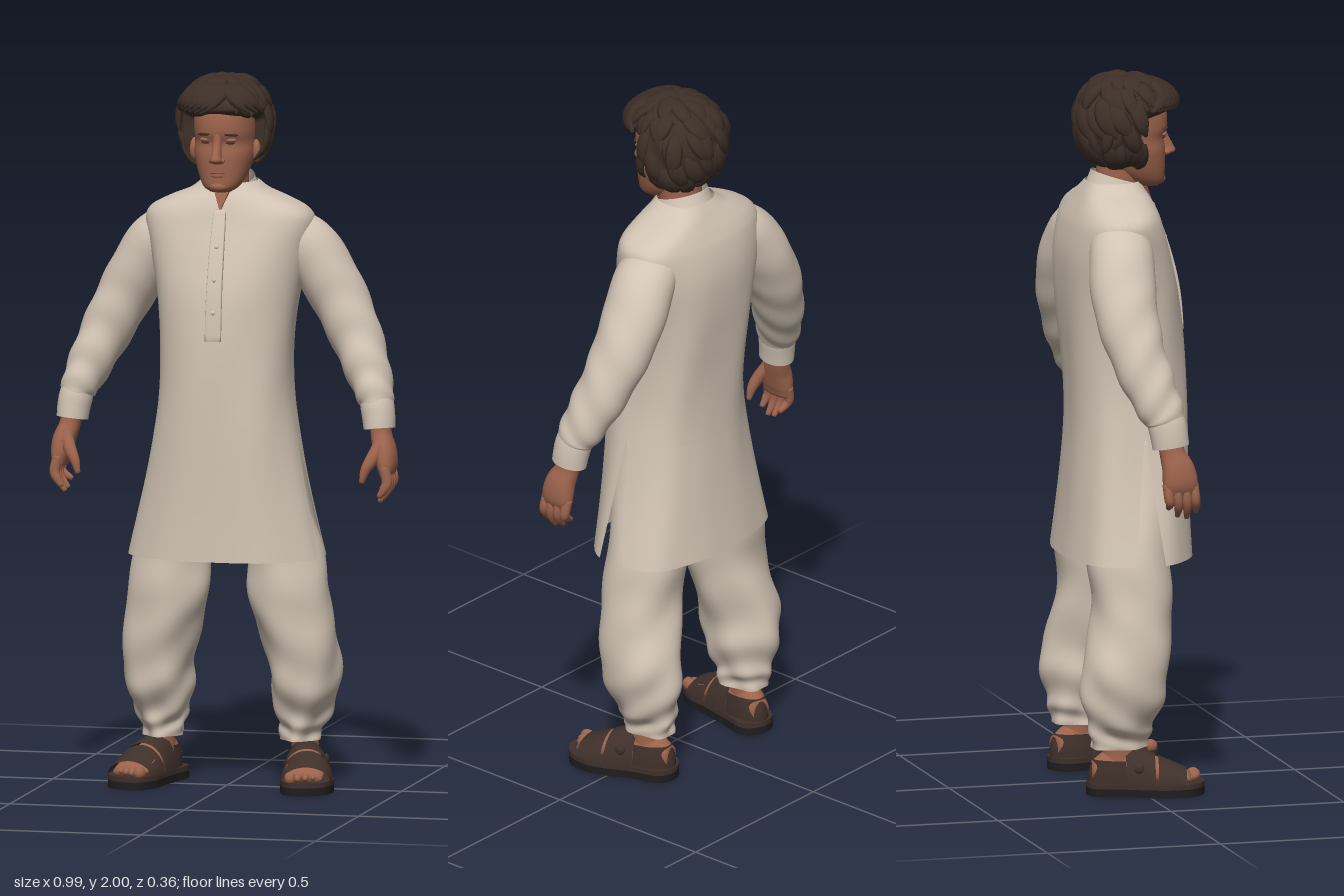
import * as THREE from 'three';

const V = (x, y, z) => new THREE.Vector3(x, y, z);
const mat = (name, color, side = THREE.FrontSide) => {
  const m = new THREE.MeshStandardMaterial({ color, side });
  m.name = name;
  return m;
};

// Skin a tube through rows [x, y, z, radiusU, radiusW]; optional open arc, fixed axis, folds and end caps.
// pow squares off the section, backPow its half facing away from W.
function loft(rows, o = {}) {
  const { segs = 32, steps = rows.length * 4, pow = 2, backPow = pow, from = 0, to = 1, axis, ref = V(0, 0, 1), arc, fold, cap } = o;
  const path = new THREE.CatmullRomCurve3(rows.map(r => V(r[0], r[1], r[2])), false, 'catmullrom');
  const size = new THREE.CatmullRomCurve3(rows.map(r => V(r[3], r[4], 0)), false, 'catmullrom');
  const cols = arc ? segs + 1 : segs, pos = [], idx = [];
  const rings = [];
  for (let i = 0; i <= steps; i++) rings.push([from + (to - from) * i / steps, 1]);
  if (cap) { rings.unshift([from, 0]); rings.push([to, 0]); }
  const se = (v, n) => Math.sign(v) * Math.pow(Math.abs(v), 2 / n);
  for (const [t, k] of rings) {
    const p = path.getPoint(t), r = size.getPoint(t);
    const T = axis ? axis.clone().normalize() : path.getTangent(t);
    const U = T.clone().cross(ref).normalize(), W = U.clone().cross(T);
    const [a0, a1] = arc ? arc((t - from) / (to - from)) : [0, Math.PI * 2];
    for (let j = 0; j < cols; j++) {
      const a = a0 + (a1 - a0) * j / segs, f = fold ? fold(a, t) : 0, n = Math.sin(a) < 0 ? backPow : pow;
      const q = p.clone().addScaledVector(U, se(Math.cos(a), n) * (r.x + f) * k).addScaledVector(W, se(Math.sin(a), n) * (r.y + f) * k);
      pos.push(q.x, q.y, q.z);
    }
  }
  for (let i = 0; i < rings.length - 1; i++) for (let j = 0; j < segs; j++) {
    const n = (j + 1) % cols, a = i * cols + j, b = i * cols + n;
    idx.push(a, a + cols, b, b, a + cols, b + cols);
  }
  const g = new THREE.BufferGeometry();
  g.setAttribute('position', new THREE.Float32BufferAttribute(pos, 3));
  g.setIndex(idx);
  g.computeVertexNormals();
  return g;
}

export function createModel() {
  const model = new THREE.Group();
  model.name = 'standingMan';
  const cloth = mat('cream cloth', 0xd2c4b4, THREE.DoubleSide);
  const skin = mat('skin', 0x9c634c);
  const hair = mat('dark brown hair', 0x3d2f27);
  const leather = mat('brown leather', 0x3f302a, THREE.DoubleSide);
  const rubber = mat('black sole', 0x1f1d1e);
  const lip = mat('lips', 0x8c5544);
  const eyeMat = mat('eyes', 0x50392f);
  const add = (name, geo, m, parent = model) => {
    const mesh = new THREE.Mesh(geo, m);
    mesh.name = name;
    parent.add(mesh);
    return mesh;
  };
  const ball = (name, m, p, s, parent = model) => {
    const b = add(name, new THREE.SphereGeometry(1, 20, 14), m, parent);
    b.position.set(...p);
    b.scale.set(...s);
    return b;
  };
  const UP = V(0, 1, 0);

  // Tunic: [y, half width, front z, back z], open at the side slits below the fourth row
  const tunic = [[0.65, 0.276, 0.18, -0.18], [0.76, 0.25, 0.177, -0.168], [0.88, 0.223, 0.176, -0.158],
    [1.0, 0.201, 0.176, -0.152], [1.1, 0.187, 0.174, -0.154], [1.2, 0.183, 0.17, -0.161], [1.3, 0.187, 0.163, -0.17],
    [1.4, 0.2, 0.15, -0.176], [1.5, 0.222, 0.124, -0.175], [1.58, 0.238, 0.098, -0.16], [1.62, 0.224, 0.085, -0.145],
    [1.65, 0.172, 0.073, -0.13], [1.675, 0.112, 0.06, -0.116], [1.7, 0.078, 0.045, -0.1]]
    .map(([y, w, f, b]) => [0, y, (f + b) / 2, w, (f - b) / 2]);
  const drape = (a, t) => 0.005 * Math.max(0, 0.55 - t) * Math.sin(a * 7 + t * 4) + 0.002 * Math.sin(a * 5 + t * 14) * Math.sin(t * Math.PI);
  const slit = 3 / 13, body = { pow: 2.25, backPow: 2.8, axis: UP, fold: drape };
  add('tunicBody', loft(tunic, { ...body, segs: 72, from: slit }), cloth);
  add('tunicFrontPanel', loft(tunic, { ...body, segs: 36, steps: 14, to: slit, arc: t => [0.24 * (1 - t), Math.PI - 0.24 * (1 - t)] }), cloth);
  add('tunicBackPanel', loft(tunic, { ...body, segs: 36, steps: 14, to: slit, arc: t => [Math.PI + 0.1 * (1 - t), 2 * Math.PI - 0.1 * (1 - t)] }), cloth);
  add('collar', loft([[0, 1.665, -0.02, 0.088, 0.087], [0, 1.685, -0.018, 0.08, 0.081], [0, 1.71, -0.015, 0.073, 0.075]],
    { axis: V(0, 1, 0.3), segs: 40, arc: () => [Math.PI / 2 + 0.22, Math.PI * 2.5 - 0.22] }), cloth);
  add('placket', loft([[0, 1.27, 0.168, 0.023, 0.007], [0, 1.35, 0.161, 0.023, 0.008], [0, 1.42, 0.15, 0.022, 0.008],
    [0, 1.5, 0.129, 0.021, 0.008], [0, 1.58, 0.103, 0.019, 0.007], [0, 1.63, 0.085, 0.017, 0.006]],
    { axis: UP, pow: 5, segs: 24, cap: true }), cloth);
  [[1.35, 0.169], [1.44, 0.153], [1.53, 0.127]].forEach(([y, z]) => ball('button', cloth, [0, y, z], [0.006, 0.006, 0.004]));

  // Open throat below the collar
  const throat = new THREE.Shape([[-0.022, 0.03], [0, -0.03], [0.022, 0.03]].map(p => new THREE.Vector2(...p)));
  const throatMesh = add('openThroat', new THREE.ExtrudeGeometry(throat, { depth: 0.008, bevelEnabled: false }), skin);
  throatMesh.position.set(0, 1.65, 0.072);
  throatMesh.rotation.x = -0.4;
  add('seat', loft([[0, 0.74, -0.02, 0.09, 0.07], [0, 0.82, -0.01, 0.14, 0.11], [0, 0.98, 0.01, 0.16, 0.13]], { axis: UP, cap: true }), cloth);

  // Outline shared by the sandal layers
  const outline = new THREE.Shape(new THREE.CatmullRomCurve3([[0, -0.16], [0.048, -0.135], [0.06, -0.05], [0.079, 0.03],
    [0.08, 0.09], [0.055, 0.145], [0, 0.17], [-0.046, 0.157], [-0.066, 0.1], [-0.062, 0.04], [-0.059, -0.05], [-0.054, -0.135]]
    .map(([x, z]) => V(x, z, 0)), true).getPoints(60).slice(0, -1).map(p => new THREE.Vector2(p.x, p.y)));
  const layer = (y, h) => new THREE.ExtrudeGeometry(outline, { depth: h, bevelEnabled: false }).rotateX(Math.PI / 2).translate(0, y + h, 0);

  for (const s of [1, -1]) {
    const side = s > 0 ? 'left' : 'right';
    const flip = rows => rows.map(([x, ...r]) => [x * s, ...r]);
    const mir = a => s > 0 ? a : Math.PI - a;

    // Sleeve with creases gathering toward the cuff
    add(side + 'Sleeve', loft(flip([[0.12, 1.58, -0.04, 0.045, 0.07], [0.208, 1.523, -0.06, 0.081, 0.09], [0.283, 1.41, -0.073, 0.081, 0.091],
      [0.345, 1.29, -0.06, 0.074, 0.081], [0.395, 1.18, -0.028, 0.063, 0.071], [0.425, 1.105, 0, 0.051, 0.06], [0.431, 1.08, 0.006, 0.043, 0.05]]),
      { steps: 48, fold: (a, t) => 0.005 * t * Math.sin(t * 38 + 3 * Math.sin(a)) * Math.sin(t * Math.PI) }), cloth);
    add(side + 'Cuff', loft(flip([[0.426, 1.105, 0, 0.045, 0.052], [0.432, 1.08, 0.008, 0.047, 0.054], [0.437, 1.05, 0.013, 0.046, 0.053], [0.44, 1.02, 0.017, 0.044, 0.052]])), cloth);

    // Hand
    const hand = new THREE.Group();
    hand.name = side + 'Hand';
    model.add(hand);
    add('palm', loft(flip([[0.439, 1.05, 0.012, 0.028, 0.034], [0.447, 1.0, 0.02, 0.029, 0.036], [0.46, 0.96, 0.032, 0.031, 0.046],
      [0.467, 0.92, 0.037, 0.027, 0.05], [0.467, 0.89, 0.039, 0.017, 0.045]]), { segs: 20, cap: true, pow: 2.3 }), skin, hand);
    for (let i = 0; i < 4; i++) {
      const z = 0.074 - i * 0.025, tip = [0.836, 0.82, 0.826, 0.848][i];
      add('finger', loft(flip([[0.467, 0.92, z, 0.015, 0.014], [0.476, 0.88, z + 0.003, 0.015, 0.014], [0.469, (tip + 0.88) / 2, z + 0.007, 0.013, 0.012],
        [0.454 - i * 0.004, tip, z + 0.01, 0.007, 0.007]]), { segs: 10, cap: true }), skin, hand);
    }
    add('thumb', loft(flip([[0.452, 0.985, 0.05, 0.019, 0.018], [0.432, 0.94, 0.076, 0.018, 0.017], [0.416, 0.91, 0.086, 0.014, 0.014], [0.406, 0.875, 0.09, 0.007, 0.007]]),
      { segs: 12, cap: true }), skin, hand);

    // Baggy trouser leg gathered at the ankle
    add(side + 'TrouserLeg', loft(flip([[0.197, 0.13, -0.065, 0.054, 0.08], [0.198, 0.165, -0.065, 0.058, 0.083], [0.204, 0.205, -0.062, 0.076, 0.094],
      [0.207, 0.27, -0.055, 0.092, 0.116], [0.21, 0.35, -0.048, 0.1, 0.123], [0.19, 0.45, -0.03, 0.108, 0.116], [0.172, 0.55, -0.02, 0.114, 0.114],
      [0.158, 0.68, -0.03, 0.104, 0.116], [0.108, 0.85, 0, 0.09, 0.12], [0.09, 0.97, 0.01, 0.07, 0.1]]),
      { axis: UP, segs: 48, steps: 60, fold: (a, t) => {
        const m = mir(a);
        return (1 - t) * (0.006 * Math.sin(t * 32 + 4 * Math.sin(m + 0.6)) * Math.min(1, t * 8) + 0.005 * Math.sin(5 * m + t * 9));
      } }), cloth);

    // Foot and open sandal, turned outward
    const foot = new THREE.Group();
    foot.name = side + 'Foot';
    foot.position.x = 0.222 * s;
    foot.rotation.y = 0.22 * s;
    model.add(foot);
    add('sole', layer(0, 0.022), rubber, foot).scale.x = s;
    add('insole', layer(0.022, 0.014), leather, foot).scale.x = s;
    const Z = { axis: V(0, 0, 1), ref: UP };
    add('bareFoot', loft([[0, 0.065, -0.145, 0.028, 0.03], [0, 0.075, -0.1, 0.04, 0.05], [0, 0.075, -0.04, 0.045, 0.05],
      [0, 0.065, 0.03, 0.052, 0.042], [0, 0.053, 0.09, 0.056, 0.026], [0, 0.045, 0.13, 0.05, 0.014]], { ...Z, segs: 24, cap: true }), skin, foot);
    add('ankle', loft([[0, 0.07, -0.07, 0.042, 0.05], [0, 0.12, -0.068, 0.038, 0.046], [0, 0.2, -0.065, 0.04, 0.05]], { axis: UP, segs: 24 }), skin, foot);
    [0.019, 0.013, 0.012, 0.011, 0.01].forEach((r, i) =>
      ball('toe', skin, [s * (-0.038 + i * 0.021), 0.046, 0.14 - i * i * 0.0025], [r * 0.85, r, 0.02], foot));
    const vamp = flip([[0, 0.03, -0.06, 0.056, 0.106], [0.005, 0.03, 0, 0.068, 0.096], [0.007, 0.03, 0.06, 0.073, 0.07], [0.005, 0.03, 0.118, 0.068, 0.044]]);
    const over = { ...Z, segs: 24, arc: () => [0, Math.PI] };
    add('instepStrap', loft(vamp, { ...over, from: 0.05, to: 0.5 }), leather, foot);
    add('toeStrap', loft(vamp, { ...over, from: 0.55, to: 1 }), leather, foot);
    add('heelCounter', loft([[0, 0.03, -0.06, 0.054, 0.096], [0, 0.065, -0.06, 0.052, 0.094], [0, 0.1, -0.06, 0.047, 0.082]],
      { axis: UP, segs: 28, arc: () => [Math.PI - 0.1, 2 * Math.PI + 0.1] }), leather, foot);
    ball('buckle', leather, [s * 0.06, 0.08, -0.015], [0.008, 0.015, 0.014], foot);
  }

  // Neck and head: head rows are [y, half width, front z, back z]
  add('neck', loft([[0, 1.58, -0.04, 0.07, 0.07], [0, 1.68, -0.015, 0.058, 0.062], [0, 1.78, 0, 0.06, 0.07]], { axis: UP }), skin);
  const head = new THREE.Group();
  head.name = 'head';
  model.add(head);
  add('face', loft([[1.681, 0.03, 0.105, 0.045], [1.695, 0.05, 0.119, 0.01], [1.725, 0.067, 0.121, -0.03], [1.765, 0.079, 0.122, -0.06],
    [1.79, 0.083, 0.121, -0.07], [1.82, 0.083, 0.117, -0.08], [1.855, 0.085, 0.128, -0.09], [1.915, 0.081, 0.117, -0.09], [1.965, 0.05, 0.06, -0.06]]
    .map(([y, w, f, b]) => [0, y, (f + b) / 2, w, (f - b) / 2]), { axis: UP, pow: 2.25, segs: 40, cap: true }), skin, head);
  add('nose', loft([[0, 1.763, 0.121, 0.012, 0.01], [0, 1.773, 0.129, 0.018, 0.025], [0, 1.79, 0.129, 0.014, 0.02],
    [0, 1.822, 0.118, 0.012, 0.014], [0, 1.85, 0.117, 0.014, 0.01]], { axis: UP, segs: 20, cap: true }), skin, head);
  ball('chin', skin, [0, 1.698, 0.105], [0.028, 0.016, 0.02], head);
  ball('upperLip', lip, [0, 1.737, 0.114], [0.026, 0.004, 0.01], head);
  ball('lowerLip', lip, [0, 1.728, 0.114], [0.022, 0.005, 0.01], head);
  for (const s of [1, -1]) {
    ball('nostril', skin, [s * 0.014, 1.772, 0.124], [0.009, 0.008, 0.012], head);
    ball('eye', eyeMat, [s * 0.034, 1.822, 0.107], [0.014, 0.005, 0.01], head);
    ball('upperEyelid', skin, [s * 0.034, 1.829, 0.106], [0.019, 0.007, 0.013], head);
    ball('eyebrow', hair, [s * 0.037, 1.845, 0.114], [0.022, 0.0045, 0.009], head).rotation.set(0, s * 0.35, s * -0.08);
    ball('ear', skin, [s * 0.088, 1.79, 0.02], [0.013, 0.032, 0.019], head).rotation.y = s * 0.3;
  }

  // Hair mass: a boxy ellipsoid whose lower front is drawn back to leave the face open
  const hairAt = (d, k = 1) => {
    const n = Math.pow(Math.abs(d.x) ** 2.3 + Math.abs(d.y) ** 2.3 + Math.abs(d.z) ** 2.3, 1 / 2.3);
    return V(-0.004 + d.x / n * 0.128 * k, 1.861 + d.y / n * 0.13 * k, 0.005 + d.z / n * (d.z > 0 ? 0.13 : 0.132) * k);
  };
  const cap = new THREE.SphereGeometry(1, 72, 52), cp = cap.attributes.position;
  for (let i = 0; i < cp.count; i++) {
    const d = V().fromBufferAttribute(cp, i);
    const wave = 0.022 * Math.sin(9 * d.x + 5 * d.y + 3 * Math.sin(5 * d.z)) + 0.022 * Math.sin(13 * d.z - 8 * d.y + 2 * d.x);
    const p = hairAt(d, 1 + wave);
    const open = THREE.MathUtils.smoothstep(p.z, 0.02, 0.05) * (1 - THREE.MathUtils.smoothstep(p.y, 1.885, 1.91));
    p.lerp(V(0, 1.84, -0.01), open * 0.6);
    cp.setXYZ(i, p.x, p.y, p.z);
  }
  cap.computeVertexNormals();
  add('hairMass', cap, hair, head);

  // Long overlapping locks flowing from the crown, and a fringe swept away from a parting
  let seed = 7;
  const rnd = () => (seed = (seed * 16807) % 2147483647) / 2147483647;
  const dir = (az, el) => V(Math.cos(el) * Math.sin(az), Math.sin(el), Math.cos(el) * Math.cos(az));
  const lock = (name, az, el, daz, del, w, lift, forward = 0) => {
    const rows = [0, 1, 2, 3, 4].map(i => {
      const u = i / 4, p = hairAt(dir(az + daz * u * u, el + del * u), 0.97 + lift * Math.sin(u * 2.6));
      return [p.x, p.y, p.z + forward * Math.sin(u * 2.2), w * [0.4, 0.9, 1, 0.8, 0.2][i], w * [0.2, 0.4, 0.45, 0.4, 0.15][i]];
    });
    if (rows.some(r => r[1] < 1.895 && r[2] > 0.045)) return;
    add(name, loft(rows, { segs: 8, steps: 10, cap: true, ref: dir(az + daz / 2, el + del / 2) }), hair, head);
  };
  for (let r = 0; r < 5; r++) for (let i = 0; i < 18; i++) {
    const az = (i + (r % 2) / 2) / 18 * Math.PI * 2 + rnd() * 0.3;
    lock('hairLock', az, 1.45 - r * 0.45 + rnd() * 0.2, (rnd() - 0.3) * 0.9, -0.75 - rnd() * 0.2, 0.015 + rnd() * 0.012, 0.03 + rnd() * 0.05);
  }
  for (let i = 0; i < 11; i++) {
    const left = i > 7, a = left ? 0.35 + (i - 8) * 0.2 : 0.25 - i * 0.15;
    lock('fringeLock', a, 1.15, left ? 0.5 : -0.55, -0.8, 0.024, 0.06, 0.025);
  }
  return model;
}
